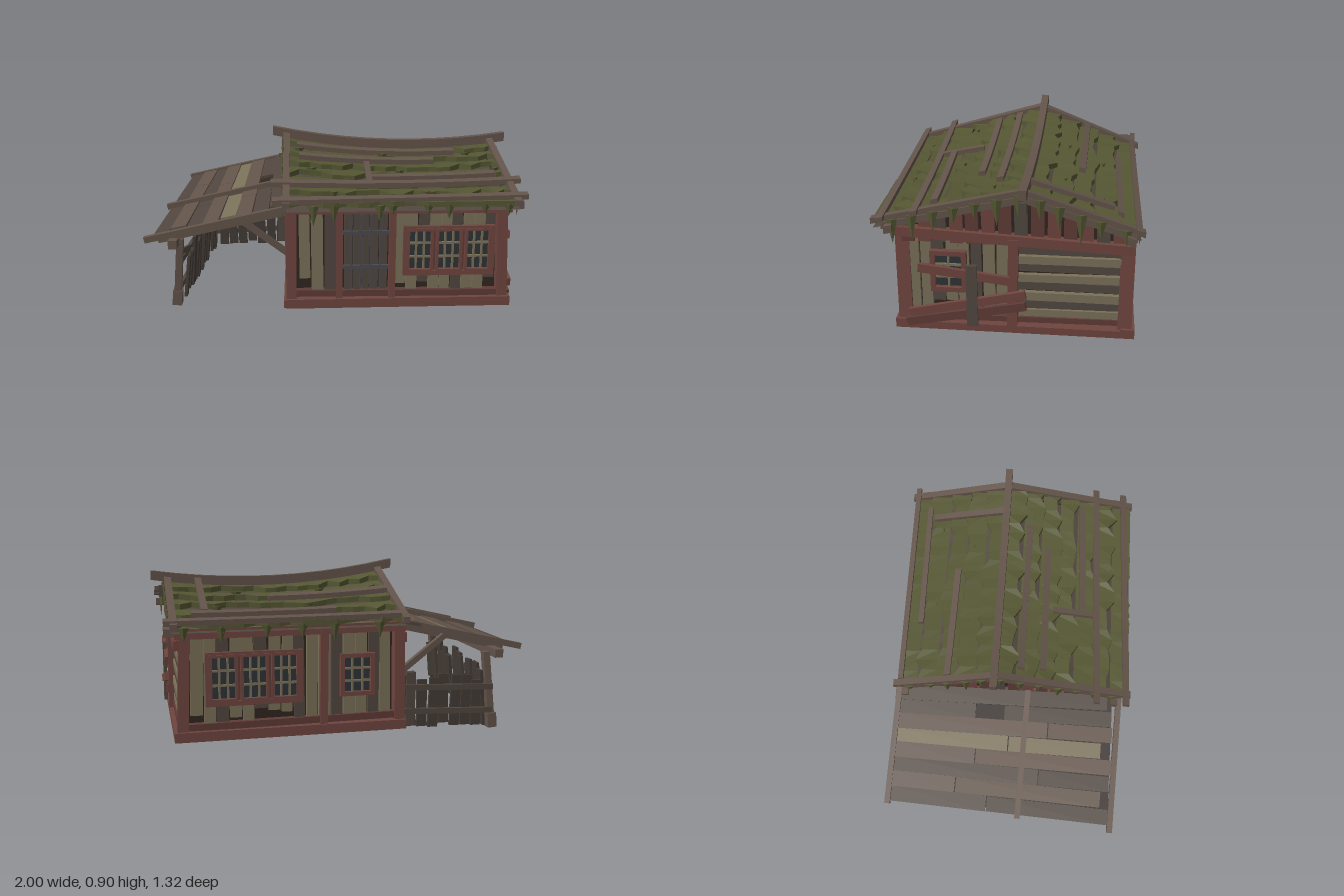
import * as THREE from 'three';

const mat = (color) => new THREE.MeshStandardMaterial({ color, flatShading: true, side: THREE.DoubleSide });
const RED = mat(0x70453f), RED2 = mat(0x5f3b37), BROWN = mat(0x63544a), GREY = mat(0x51473f), TAN = mat(0x7b7159),
  MOSS = mat(0x555733), DARK = mat(0x30261f), FLOOR = mat(0x4a3c34), GLASS = mat(0x303436), IRON = mat(0x4b4b50), FENCE = mat(0x443c36);
let seed = 7;
const rnd = (a = 0, b = 1) => { seed = (seed * 16807) % 2147483647; return a + (b - a) * seed / 2147483647; };
const V = (x, y, z) => new THREE.Vector3(x, y, z);
const lerp = THREE.MathUtils.lerp;

function add(parent, name, geo, material) {
  const m = new THREE.Mesh(geo, material);
  m.name = name;
  parent.add(m);
  return m;
}
function group(parent, name) {
  const g = new THREE.Group();
  g.name = name;
  parent.add(g);
  return g;
}
// Straight board from a to b, its thickness along the normal n
function board(parent, name, a, b, width, thick, material, n) {
  const z = b.clone().sub(a), len = z.length();
  z.normalize();
  const x = n.clone().cross(z).normalize(), y = z.clone().cross(x);
  const geo = new THREE.BoxGeometry(width, thick, len);
  geo.applyMatrix4(new THREE.Matrix4().makeBasis(x, y, z).setPosition(a.clone().add(b).multiplyScalar(0.5)));
  return add(parent, name, geo, material);
}
// Surface swept by fn(u, row, column) over a grid
function sheet(parent, name, nu, nv, fn, material) {
  const pos = [], idx = [];
  for (let j = 0; j <= nv; j++) for (let i = 0; i <= nu; i++) pos.push(...fn(i / nu, j, i));
  for (let j = 0; j < nv; j++) for (let i = 0; i < nu; i++) {
    const a = j * (nu + 1) + i, c = a + nu + 1;
    idx.push(a, c, a + 1, a + 1, c, c + 1);
  }
  const geo = new THREE.BufferGeometry();
  geo.setAttribute('position', new THREE.Float32BufferAttribute(pos, 3));
  geo.setIndex(idx);
  geo.computeVertexNormals();
  return add(parent, name, geo, material);
}

// Sagging roof: ridge height along x, and height anywhere on the slopes
const RZ = -0.09, ridgeY = (x) => 0.77 + 0.133 * (x - 0.45) ** 2;
const roofY = (x, z) => {
  const t = z > RZ ? (z - RZ) / 0.73 : (RZ - z) / 0.57;
  return lerp(ridgeY(x), z > RZ ? 0.625 : 0.61, t);
};
// Board draped over the roof between two plan points
function roofBoard(parent, name, x0, z0, x1, z1, w, th, lift, material = BROWN, yFn = roofY) {
  const len = Math.hypot(x1 - x0, z1 - z0);
  const geo = new THREE.BoxGeometry(len, th, w, 10, 1, 1);
  geo.rotateY(-Math.atan2(z1 - z0, x1 - x0)).translate((x0 + x1) / 2, lift, (z0 + z1) / 2);
  const p = geo.attributes.position;
  for (let i = 0; i < p.count; i++) p.setY(i, p.getY(i) + yFn(p.getX(i), p.getZ(i)));
  geo.computeVertexNormals();
  return add(parent, name, geo, material);
}

// Each wall maps (along, up, out) to space
const walls = {
  front: { n: V(0, 0, 1), p: (u, v, d) => V(u, v, 0.5 + d) },
  back: { n: V(0, 0, -1), p: (u, v, d) => V(u, v, -0.58 - d) },
  right: { n: V(1, 0, 0), p: (u, v, d) => V(0.87 + d, v, u) },
  left: { n: V(-1, 0, 0), p: (u, v, d) => V(-0.24 - d, v, u) },
};
const strip = (g, w, name, u0, v0, u1, v1, width, d, thick, m) =>
  board(g, name, w.p(u0, v0, d), w.p(u1, v1, d), width, thick, m, w.n);

function uprightPlanks(g, w, u0, u1, v0, v1, n, mats) {
  const s = (u1 - u0) / n;
  for (let i = 0; i < n; i++) {
    const u = u0 + (i + 0.5) * s, low = rnd() < 0.25 ? rnd(0.02, 0.07) : 0;
    strip(g, w, 'wallPlank', u, v0 + low, u + rnd(-0.008, 0.008), v1, s * rnd(0.82, 0.98), rnd(0.004, 0.012), 0.02, mats[i % mats.length]);
  }
}
function levelPlanks(g, w, u0, u1, v0, v1, n) {
  const s = (v1 - v0) / n;
  for (let i = 0; i < n; i++) {
    const v = v0 + (i + 0.5) * s;
    strip(g, w, 'wallPlank', u0, v + rnd(-0.006, 0.006), u1, v + rnd(-0.006, 0.006), s * rnd(0.72, 0.9), rnd(0.005, 0.015), 0.024, i % 2 ? GREY : TAN);
  }
}
function frame(g, w, u0, v0, u1, v1, t, d, m) {
  for (const v of [v0, v1]) strip(g, w, 'windowFrame', u0 - t / 2, v, u1 + t / 2, v, t, d, 0.03, m);
  for (const u of [u0, u1]) strip(g, w, 'windowFrame', u, v0, u, v1, t, d, 0.03, m);
}
function windowPane(g, w, u0, v0, u1, v1, t, cols = 3, rows = 3) {
  strip(g, w, 'windowGlass', (u0 + u1) / 2, v0, (u0 + u1) / 2, v1, u1 - u0, 0.02, 0.01, GLASS);
  frame(g, w, u0, v0, u1, v1, t, 0.032, RED);
  for (let i = 1; i < cols; i++) strip(g, w, 'muntin', lerp(u0, u1, i / cols), v0, lerp(u0, u1, i / cols), v1, 0.011, 0.03, 0.012, TAN);
  for (let i = 1; i < rows; i++) strip(g, w, 'muntin', u0, lerp(v0, v1, i / rows), u1, lerp(v0, v1, i / rows), 0.011, 0.03, 0.012, TAN);
}
function tripleWindow(g, w, u0, u1) {
  strip(g, w, 'windowBacking', (u0 + u1) / 2, 0.22, (u0 + u1) / 2, 0.475, u1 - u0, 0.012, 0.02, RED2);
  frame(g, w, u0, 0.222, u1, 0.472, 0.024, 0.025, RED);
  const s = (u1 - u0) / 3;
  for (let i = 0; i < 3; i++) windowPane(g, w, u0 + i * s + 0.014, 0.24, u0 + (i + 1) * s - 0.014, 0.465, 0.014);
}
function mossDrip(g, x, y, z, len, flatX) {
  const geo = new THREE.ConeGeometry(0.028, len, 4).rotateX(Math.PI);
  geo.scale(flatX ? 0.35 : 1, 1, flatX ? 1 : 0.35).translate(x, y - len / 2, z);
  add(g, 'mossDrip', geo, MOSS);
}

export function createModel() {
  seed = 7;
  const root = new THREE.Group();
  root.name = 'oldCabin';
  const { front, back, right, left } = walls;

  // Dark core and floor
  const core = group(root, 'core');
  add(core, 'coreBox', new THREE.BoxGeometry(1.1, 0.54, 1.06).translate(0.315, 0.33, -0.04), DARK);
  add(core, 'floor', new THREE.BoxGeometry(1.17, 0.03, 1.16).translate(0.325, 0.055, -0.04), FLOOR);

  // Red timber frame
  const timber = group(root, 'timberFrame');
  for (const w of [front, back]) {
    strip(timber, w, 'sill', -0.28, 0.065, 0.92, 0.065, 0.05, 0.025, 0.07, RED);
    strip(timber, w, 'sillBoard', -0.26, 0.115, 0.9, 0.105, 0.035, 0.015, 0.04, RED2);
    strip(timber, w, 'topBeam', -0.28, 0.585, 0.91, 0.58, 0.05, 0.02, 0.05, RED);
    strip(timber, w, 'cornerPost', -0.25, 0.05, -0.245, 0.61, 0.055, 0.01, 0.07, RED);
    strip(timber, w, 'cornerPost', 0.88, 0.05, 0.858, 0.61, 0.055, 0.01, 0.07, RED);
  }
  for (const w of [right, left]) {
    strip(timber, w, 'sill', -0.62, 0.06, 0.55, 0.06, 0.04, 0.02, 0.06, RED);
    strip(timber, w, 'sillBoard', -0.6, 0.115, 0.52, 0.1, 0.03, 0.015, 0.03, RED2);
    strip(timber, w, 'topBeam', -0.62, 0.525, 0.53, 0.58, 0.05, 0.02, 0.05, RED);
    strip(timber, w, 'middlePost', -0.03, 0.06, -0.04, 0.56, 0.05, 0.03, 0.04, RED);
  }

  // Front wall: planks, barred door, window
  const f = group(root, 'frontWall');
  uprightPlanks(f, front, -0.21, -0.01, 0.13, 0.57, 3, [TAN, TAN, GREY]);
  uprightPlanks(f, front, 0.3, 0.84, 0.12, 0.57, 9, [TAN, TAN, GREY]);
  for (const u of [0.005, 0.285]) strip(f, front, 'doorPost', u, 0.06, u, 0.58, 0.035, 0.025, 0.045, RED);
  for (let i = 0; i < 5; i++) strip(f, front, 'doorPlank', 0.05 + i * 0.048, 0.13, 0.05 + i * 0.048, 0.56, 0.036, 0.008, 0.02, GREY);
  for (const v of [0.26, 0.45]) strip(f, front, 'doorIronBand', 0.02, v, 0.27, v, 0.02, 0.026, 0.012, IRON);
  for (let i = 0; i < 4; i++) strip(f, front, 'doorIronBar', 0.07 + i * 0.05, 0.14, 0.07 + i * 0.05, 0.55, 0.01, 0.026, 0.01, IRON);
  tripleWindow(f, front, 0.355, 0.815);

  // Back wall
  const b = group(root, 'backWall');
  uprightPlanks(b, back, -0.21, 0.84, 0.12, 0.57, 16, [TAN, GREY, TAN]);
  strip(b, back, 'middlePost', 0.16, 0.06, 0.155, 0.58, 0.04, 0.025, 0.045, RED);
  tripleWindow(b, back, 0.28, 0.75);
  windowPane(b, back, -0.1, 0.24, 0.06, 0.44, 0.022);

  // Right wall: window boarded over, level planks behind the middle post
  const r = group(root, 'rightWall');
  uprightPlanks(r, right, -0.01, 0.49, 0.13, 0.56, 8, [TAN, TAN, GREY]);
  levelPlanks(r, right, -0.56, -0.06, 0.12, 0.52, 8);
  windowPane(r, right, 0.205, 0.27, 0.36, 0.47, 0.025, 2, 3);
  strip(r, right, 'nailedBoard', 0.43, 0.395, -0.02, 0.34, 0.045, 0.055, 0.02, RED);
  strip(r, right, 'nailedBoard', 0.48, 0.14, -0.1, 0.27, 0.045, 0.06, 0.02, RED);
  strip(r, right, 'nailedBoard', 0.5, 0.08, -0.1, 0.2, 0.045, 0.05, 0.02, RED2);
  strip(r, right, 'nailedBoard', 0.165, 0.08, 0.165, 0.42, 0.055, 0.06, 0.02, GREY);

  // Left wall under the lean-to
  const l = group(root, 'leftWall');
  uprightPlanks(l, left, -0.01, 0.49, 0.13, 0.56, 8, [TAN, GREY, TAN]);
  levelPlanks(l, left, -0.56, -0.06, 0.12, 0.52, 8);

  // Gable planks over a dark backing
  const gables = group(root, 'gables');
  for (const w of [right, left]) {
    const x = w.p(0, 0, 0).x;
    sheet(gables, 'gableBacking', 16, 1, (u, j) => {
      const z = lerp(-0.58, 0.5, u);
      return [x, j ? roofY(x, z) - 0.01 : 0.5, z];
    }, DARK);
    for (let i = 0; i < 14; i++) {
      const z = -0.55 + i * 0.079;
      strip(gables, w, 'gablePlank', z, 0.52, z + rnd(-0.006, 0.006), roofY(x, z) - 0.035, 0.064, rnd(0.008, 0.016), 0.02, i % 5 === 1 ? GREY : i % 2 ? RED2 : RED);
    }
  }

  // Mossy roof: overlapping ragged courses on each slope, with an underside
  const roof = group(root, 'mainRoof');
  for (const [span, s] of [[0.73, 1], [0.555, -1]]) {
    const rows = s > 0 ? 7 : 5, zAt = (t) => RZ + s * span * t;
    for (let k = 0; k < rows; k++) {
      const rag = Array.from({ length: 21 }, () => rnd(-0.03, 0.025));
      sheet(roof, 'mossCourse', 20, 2, (u, j, i) => {
        const x = lerp(-0.26, 0.925, u);
        const z = zAt(j === 0 ? k / rows : Math.min((k + 1) / rows + rag[i] / span, 1));
        return [x, roofY(x, z) + (j === 1 ? 0.022 : -0.006), z];
      }, MOSS);
    }
    sheet(roof, 'roofUnderside', 12, 1, (u, j) => {
      const x = lerp(-0.27, 0.925, u), z = zAt(j);
      return [x, roofY(x, z) - 0.025, z];
    }, GREY);
  }
  roofBoard(roof, 'ridgeBeam', -0.35, -0.1, 1, -0.09, 0.04, 0.05, 0.02, BROWN, ridgeY);
  roofBoard(roof, 'ridgePurlin', -0.3, -0.09, 0.96, -0.09, 0.035, 0.06, -0.06, GREY, ridgeY);
  for (const x of [-0.27, 0.912]) {
    for (const [zTop, zLow] of [[0.65, 0.6], [-0.665, -0.63]]) {
      roofBoard(roof, 'vergeBoard', x, RZ, x, zTop, 0.036, 0.03, 0.014);
      roofBoard(roof, 'gableRafter', x, RZ, x, zLow, 0.035, 0.035, -0.022);
    }
  }
  // Loose boards: x0, z0, x1, z1, width
  [[0.08, -0.54, 0.82, -0.55, 0.03], [-0.25, -0.36, 0.4, -0.35, 0.035], [0.75, -0.52, 0.75, -0.11, 0.035],
    [-0.21, 0.04, 0.68, 0.05, 0.035], [-0.2, 0.16, 0.55, 0.16, 0.035], [0.18, 0.37, 0.85, 0.35, 0.035],
    [0.17, 0.2, 0.17, 0.43, 0.03], [-0.35, 0.46, 0.97, 0.43, 0.035], [-0.34, 0.625, 0.97, 0.595, 0.035],
    [-0.25, -0.625, 0.96, -0.635, 0.03]].forEach(([x0, z0, x1, z1, w]) => roofBoard(roof, 'roofBatten', x0, z0, x1, z1, w, 0.026, 0.026));
  for (const z of [0.56, -0.6]) roofBoard(roof, 'eaveBeam', -0.33, z, 0.96, z, 0.04, 0.04, -0.035);

  // Hanging moss on eaves, gables and roof steps
  const drips = group(root, 'hangingMoss');
  for (let i = 0; i < 12; i++) {
    const x = -0.2 + i * 0.095 + rnd(-0.03, 0.03), z = 0.54 - i * 0.1 + rnd(-0.02, 0.02);
    if (i % 3) mossDrip(drips, x, 0.63, 0.635, rnd(0.05, 0.11), false);
    if (i % 2) mossDrip(drips, x, 0.615, -0.64, rnd(0.05, 0.09), false);
    for (const gx of [0.932, -0.29]) mossDrip(drips, gx, roofY(gx, z) + 0.005, z, rnd(0.06, 0.16), true);
    const rz = [0.07, 0.28, 0.53, -0.27, -0.46][i % 5];
    mossDrip(drips, x, roofY(x, rz) + 0.025, rz, 0.05, false);
  }

  // Lean-to roof: planks along the depth over dark decking and cross rafters
  const lean = group(root, 'leanTo');
  const leanY = (x) => 0.44 + (x + 0.98) * 0.225;
  const edge = (z) => lerp(-0.89, -0.965, (z + 0.66) / 1.24);
  sheet(lean, 'leanDecking', 1, 1, (u, j) => {
    const z = lerp(-0.64, 0.555, j), x = lerp(edge(z) + 0.02, -0.26, u);
    return [x, leanY(x) - 0.012, z];
  }, DARK);
  for (let i = 0; i < 8; i++) {
    const t = (i + 0.5) / 8, z0 = -0.65 + rnd(0, 0.02), z1 = 0.57 - (i % 3 === 1 ? rnd(0.04, 0.07) : rnd(0, 0.02));
    const m = [GREY, BROWN, GREY, BROWN, TAN, BROWN, GREY, GREY][i], lift = (i % 2) * 0.008;
    const at = (z) => { const x = lerp(edge(z), -0.27, t); return V(x, leanY(x) + lift, z); };
    const cut = i === 6 ? -0.2 : rnd(-0.3, 0.3);
    board(lean, 'leanRoofPlank', at(z0), at(cut), 0.086, 0.016, m, V(-0.22, 1, 0));
    board(lean, 'leanRoofPlank', at(cut + (i === 6 ? 0.16 : 0.006)), at(z1), 0.083, 0.016, m, V(-0.22, 1, 0));
  }
  for (const [z, x0, drop] of [[-0.655, -0.91, 0.005], [0.565, -1, 0.005], [0.06, -0.955, 0.022], [0.06, -0.93, -0.03], [-0.5, -0.88, -0.03], [0.5, -0.94, -0.03]])
    board(lean, 'leanRafter', V(x0, leanY(x0) + drop, z), V(-0.27, leanY(-0.27) + drop, z + 0.025), 0.03, 0.032, BROWN, V(-0.22, 1, 0));
  board(lean, 'leanEaveBeam', V(-0.8, 0.42, -0.64), V(-0.86, 0.41, 0.57), 0.045, 0.045, BROWN, V(0, 1, 0));
  for (const [z, x, y] of [[0.48, -0.865, 0.04], [-0.56, -0.79, 0.005]]) {
    board(lean, 'leanBrace', V(-0.53, 0.53, z), V(-0.27, 0.33, z), 0.03, 0.03, BROWN, V(0, 0, 1));
    board(lean, 'leanPost', V(x, y, z - 0.02), V(x + 0.035, 0.42, z), 0.036, 0.04, BROWN, V(0, 0, 1));
    board(lean, 'postFoot', V(x, y, z - 0.02), V(x + 0.006, y + 0.08, z - 0.02), 0.05, 0.055, BROWN, V(0, 0, 1));
  }

  // Crooked fences at the side and back of the lean-to
  const fence = group(root, 'fence');
  for (let i = 0; i < 14; i++) {
    const t = i / 13, z = lerp(-0.53, 0.43, t), x = lerp(-0.765, -0.82, t) + rnd(-0.01, 0.01);
    board(fence, 'sidePicket', V(x, 0.005 + t * 0.07 + rnd(0, 0.03), z), V(x + 0.025, rnd(0.29, 0.38), z + rnd(-0.025, 0.025)), 0.062, 0.016, FENCE, V(1, 0, 0));
  }
  for (let i = 0; i < 7; i++) {
    const x = -0.7 + i * 0.062;
    board(fence, 'backPicket', V(x, rnd(0.015, 0.05), -0.57), V(x + rnd(-0.02, 0.015), rnd(0.26, 0.32), -0.57), 0.055, 0.016, FENCE, V(0, 0, 1));
  }
  for (const y of [0.1, 0.23]) {
    board(fence, 'sideRail', V(-0.785, y, -0.58), V(-0.84, y + 0.05, 0.47), 0.03, 0.018, GREY, V(1, 0, 0));
    board(fence, 'backRail', V(-0.79, y, -0.588), V(-0.28, y + 0.02, -0.588), 0.03, 0.018, GREY, V(0, 0, 1));
  }
  board(fence, 'sideCrossRail', V(-0.785, 0.08, -0.54), V(-0.835, 0.33, 0.44), 0.03, 0.016, GREY, V(1, 0, 0));
  board(fence, 'wallPost', V(-0.32, 0.04, -0.57), V(-0.325, 0.33, -0.57), 0.05, 0.04, GREY, V(0, 0, 1));
  return root;
}
